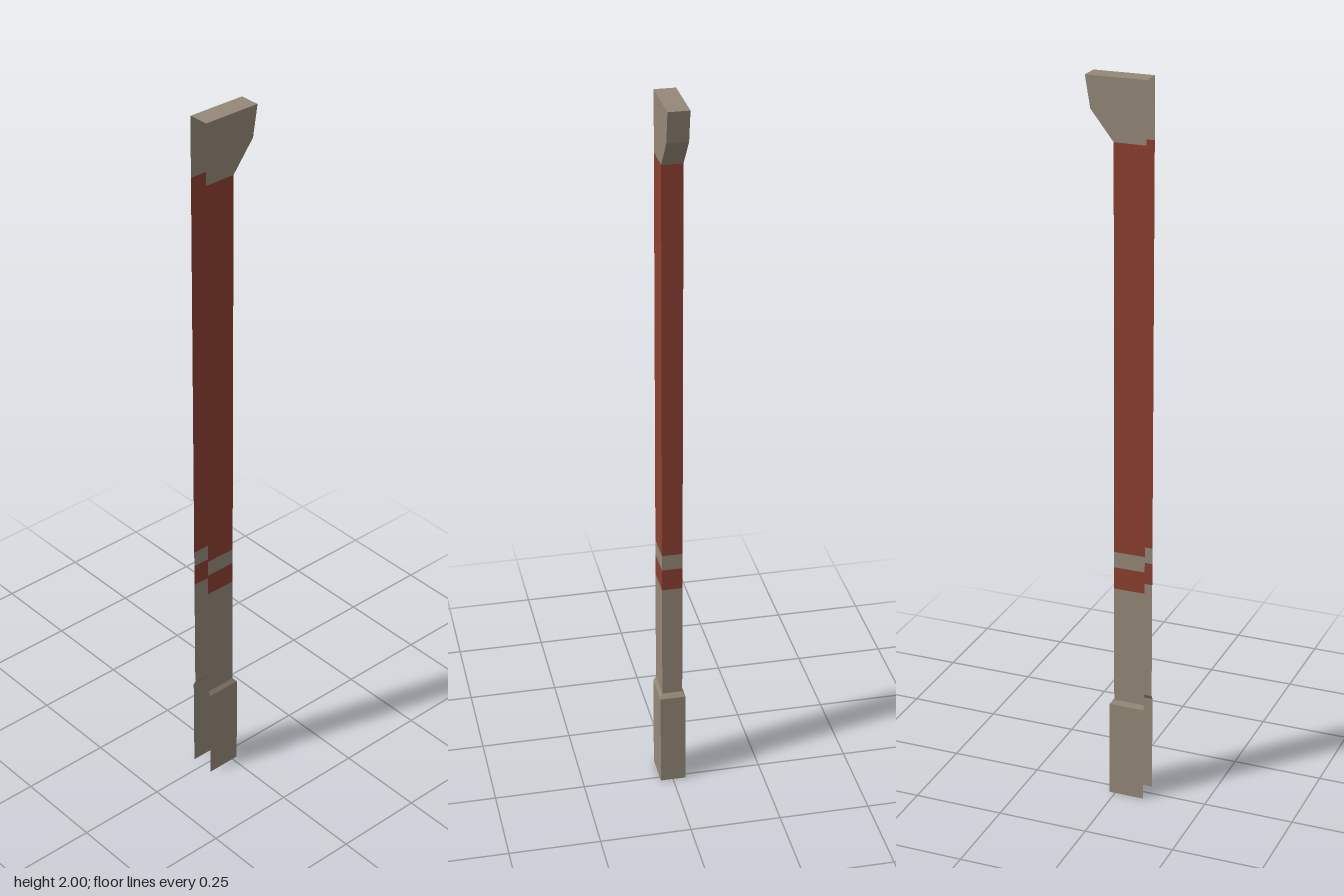
import * as THREE from 'three';

const BACK = -0.082; // open side of the channel
const tan = new THREE.MeshStandardMaterial({ color: 0x958878, side: THREE.DoubleSide, flatShading: true });
const red = new THREE.MeshStandardMaterial({ color: 0x8c4030, side: THREE.DoubleSide, flatShading: true });

// Three-sided channel, open towards -x, lofted through levels of [y, outer x, half depth]
function channel(name, material, levels, capped = false) {
  const positions = [];
  const index = [];
  for (const [y, x, d] of levels) {
    positions.push(BACK, y, -d, x, y, -d, x, y, d, BACK, y, d);
  }
  for (let i = 0; i < levels.length - 1; i++) {
    for (let j = 0; j < 3; j++) {
      const a = i * 4 + j, b = a + 1, c = a + 4, e = a + 5;
      index.push(a, c, b, b, c, e);
    }
  }
  if (capped) {
    const t = (levels.length - 1) * 4;
    index.push(t, t + 2, t + 1, t, t + 3, t + 2);
  }
  const indexed = new THREE.BufferGeometry();
  indexed.setAttribute('position', new THREE.Float32BufferAttribute(positions, 3));
  indexed.setIndex(index);
  const geometry = indexed.toNonIndexed();
  geometry.computeVertexNormals();
  const mesh = new THREE.Mesh(geometry, material);
  mesh.name = name;
  return mesh;
}

export function createModel() {
  const group = new THREE.Group();
  group.name = 'pilaster';
  const X = 0.005, D = 0.028;

  // Wider plinth with a sloped ledge
  group.add(channel('plinth', tan, [[0, 0.016, 0.035], [0.274, 0.016, 0.035], [0.286, X, D]]));

  // Shaft in stacked colour bands
  const bands = [
    ['lowerShaft', tan, 0.286, 0.62],
    ['lowerRedBand', red, 0.62, 0.682],
    ['stoneBand', tan, 0.682, 0.727],
    ['upperShaft', red, 0.727, 1.837],
  ];
  for (const [name, material, y0, y1] of bands) {
    group.add(channel(name, material, [[y0, X, D], [y1, X, D]]));
  }

  // Bracket flaring outwards, closed on top
  group.add(channel('bracket', tan, [[1.837, X, D], [1.916, 0.067, D], [2, 0.081, D]], true));
  return group;
}
